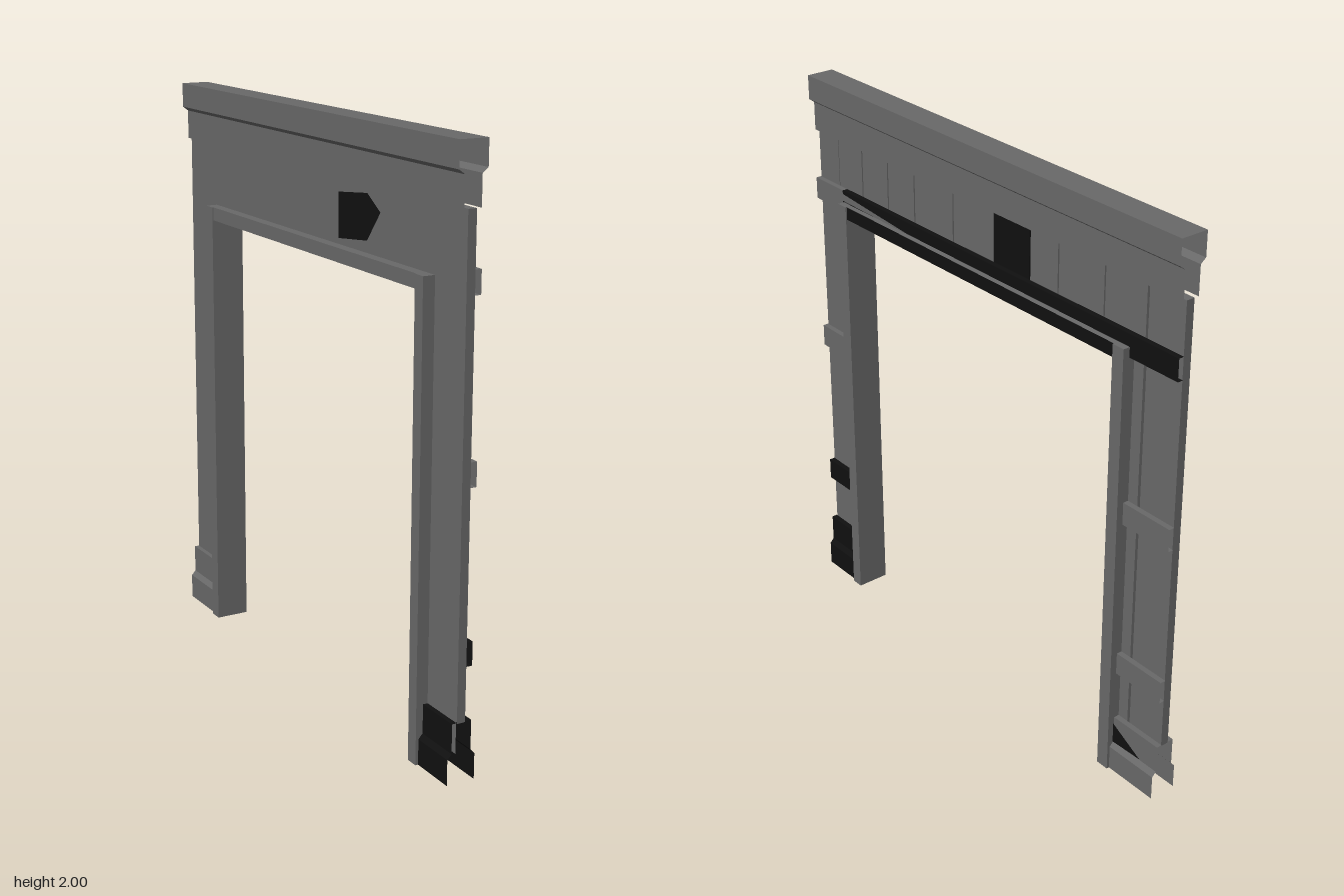
import * as THREE from 'three';

export function createModel() {
  const model = new THREE.Group();
  const make = (name, color, side = THREE.FrontSide) => {
    const m = new THREE.MeshStandardMaterial({ color, side });
    m.name = name;
    return m;
  };
  const grey = make('grey', 0x686868, THREE.DoubleSide);
  const black = make('black', 0x101010, THREE.DoubleSide);
  const backGrey = make('back panel grey', 0x686868);

  const add = (name, geometry, material) => {
    const mesh = new THREE.Mesh(geometry, material);
    mesh.name = name;
    model.add(mesh);
    return mesh;
  };

  const box = (name, x, y0, y1, z0, z1, material) => {
    const mesh = add(name, new THREE.BoxGeometry(2 * x, y1 - y0, z1 - z0), material);
    mesh.position.set(0, (y0 + y1) / 2, (z0 + z1) / 2);
  };

  // Open-ended moulding: an x,y profile swept along z
  const moulding = (name, profile, z0, z1, material) => {
    const pos = [];
    for (let i = 0; i < profile.length - 1; i++) {
      const [ax, ay] = profile[i], [bx, by] = profile[i + 1];
      pos.push(ax, ay, z1, ax, ay, z0, bx, by, z0, ax, ay, z1, bx, by, z0, bx, by, z1);
    }
    const g = new THREE.BufferGeometry();
    g.setAttribute('position', new THREE.Float32BufferAttribute(pos, 3));
    g.computeVertexNormals();
    add(name, g, material);
  };
  const mirrored = (profile) => profile.map(([x, y]) => [-x, y]).reverse();

  // Stepped top beam
  const beam = [[0.03, 1.8], [0.03, 1.9], [0.05, 1.915], [0.05, 2]];
  moulding('topBeam', [...beam, ...mirrored(beam)], -0.915, 0.915, grey);

  // Short planks over the opening, with narrow gaps
  const cuts = [0.8, 0.66, 0.513, 0.365, 0.157, -0.05, -0.228, -0.363, -0.573, -0.757];
  for (let i = 0; i < cuts.length - 1; i++) {
    box('headerPlank', 0.015, 1.56, 1.8, cuts[i + 1] + 0.003, cuts[i] - 0.003,
      cuts[i] === -0.05 ? black : grey);
  }

  // Long planks of the two posts
  box('leftOuterPlank', 0.015, 0.2, 1.8, 0.8, 0.913, grey);
  box('leftInnerPlank', 0.015, 0.05, 1.6, 0.75, 0.796, grey);
  box('rightOuterPlank', 0.015, 0.2, 1.8, -0.913, -0.763, grey);
  box('rightInnerPlank', 0.015, 0.05, 1.6, -0.752, -0.71, grey);

  // Flat lining on the back
  const lining = (y0, y1, z0, z1) => {
    const mesh = add('backLining', new THREE.PlaneGeometry(z1 - z0, y1 - y0), backGrey);
    mesh.rotation.y = -Math.PI / 2;
    mesh.position.set(-0.018, (y0 + y1) / 2, (z0 + z1) / 2);
  };
  lining(1.56, 1.8, -0.913, 0.913);
  lining(0.1, 1.56, 0.75, 0.913);
  lining(0.1, 1.56, -0.913, -0.71);

  // Jambs and lintel around the opening
  box('leftJamb', 0.06, 0, 1.58, 0.705, 0.75, grey);
  box('rightJamb', 0.06, 0, 1.58, -0.71, -0.662, grey);
  box('lintel', 0.055, 1.533, 1.58, -0.662, 0.705, [black, grey, grey, grey, grey, grey]);

  // Raised bands
  const band = (name, y0, y1, z0, z1, material) =>
    moulding(name, [[0.015, y0], [0.035, y0], [0.035, y1], [0.015, y1]], z0, z1, material);
  band('leftTopBand', 1.545, 1.622, 0.755, 0.915, grey);
  band('headerBand', 1.545, 1.622, -0.915, 0.755, black);
  for (const y of [0.385, 0.96]) {
    band('leftBand', y, y + 0.08, 0.755, 0.915, y < 0.5 ? black : grey);
    band('rightBand', y, y + 0.08, -0.915, -0.71, grey);
  }

  // Flared skirting on both sides of each post
  const base = [[0.05, 0], [0.05, 0.088], [0.035, 0.105], [0.035, 0.205], [0.015, 0.205]];
  for (const profile of [base, mirrored(base)]) {
    moulding('leftBase', profile, 0.75, 0.917, black);
    moulding('rightBase', profile, -0.915, -0.71, grey);
  }

  // Thin three-cornered patches, given as z,y corners
  const patch = (name, x, corners, material) => {
    const shape = new THREE.Shape(corners.map(([z, y]) => new THREE.Vector2(-z, y)));
    const mesh = add(name, new THREE.ShapeGeometry(shape), material);
    mesh.rotation.y = Math.PI / 2;
    mesh.position.x = x;
  };
  patch('bandPatch', 0.038, [[0.87, 1.62], [0.75, 1.585], [0.35, 1.58]], grey);
  patch('basePatch', 0.038, [[-0.71, 0.105], [-0.84, 0.11], [-0.71, 0.18]], black);
  patch('backPatch', -0.021, [[0.18, 1.6], [0.36, 1.62], [0.44, 1.72], [0.36, 1.77], [0.18, 1.75]], black);

  return model;
}
